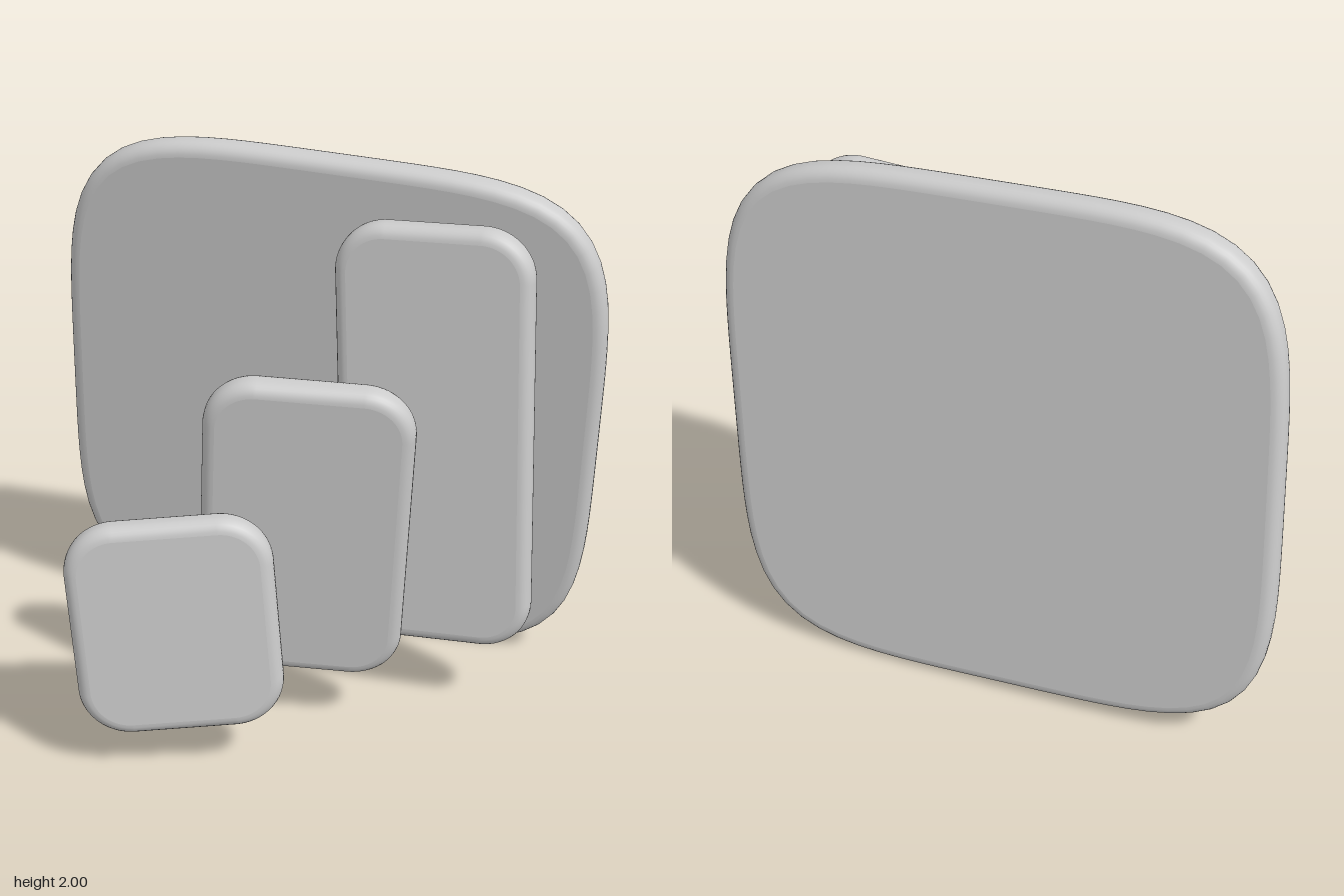
import * as THREE from 'three';

const SEG = 96, THICK = 0.11, BEVEL = 0.045;

// Superellipse outline, counter-clockwise
function squircle(a, b, power) {
  return Array.from({ length: SEG }, (_, i) => {
    const t = (i / SEG) * Math.PI * 2, c = Math.cos(t), s = Math.sin(t);
    const k = Math.pow(Math.abs(c) ** power + Math.abs(s) ** power, -1 / power);
    return new THREE.Vector2(a * c * k, b * s * k);
  });
}

// Rectangle outline with circular corners, counter-clockwise
function roundedRect(a, b, r) {
  const pts = [], n = SEG / 4;
  [[1, 1], [-1, 1], [-1, -1], [1, -1]].forEach(([sx, sy], q) => {
    for (let i = 0; i < n; i++) {
      const t = (q + i / (n - 1)) * Math.PI / 2;
      pts.push(new THREE.Vector2(sx * (a - r) + r * Math.cos(t), sy * (b - r) + r * Math.sin(t)));
    }
  });
  return pts;
}

// Flat slab with a rounded rim: rings of the outline inset along a quarter-round at back and front
function slabGeometry(outline) {
  const n = outline.length, pos = [], index = [], steps = 6;
  const normals = outline.map((_, i) => {
    const d = outline[(i + 1) % n].clone().sub(outline[(i + n - 1) % n]).normalize();
    return new THREE.Vector2(d.y, -d.x);
  });
  const ring = (inset, z) => {
    const start = pos.length / 3;
    outline.forEach((p, i) => pos.push(p.x - normals[i].x * inset, p.y - normals[i].y * inset, z));
    return start;
  };
  const profile = [];
  for (let k = 0; k <= steps; k++) {
    const t = (k / steps) * Math.PI / 2;
    profile.push([BEVEL * (1 - Math.sin(t)), THICK / 2 - BEVEL + BEVEL * Math.cos(t)]);
  }
  const full = [...profile.map(([s, z]) => [s, -z]), ...profile.slice().reverse()];
  const starts = full.map(([s, z]) => ring(s, z));
  for (let k = 0; k + 1 < starts.length; k++) {
    for (let i = 0; i < n; i++) {
      const j = (i + 1) % n, lo = starts[k], hi = starts[k + 1];
      index.push(lo + i, lo + j, hi + j, lo + i, hi + j, hi + i);
    }
  }
  // Flat faces
  for (const side of [-1, 1]) {
    const start = ring(BEVEL, side * THICK / 2), centre = pos.length / 3;
    pos.push(0, 0, side * THICK / 2);
    for (let i = 0; i < n; i++) {
      const j = (i + 1) % n;
      if (side > 0) index.push(centre, start + i, start + j);
      else index.push(centre, start + j, start + i);
    }
  }
  const geo = new THREE.BufferGeometry();
  geo.setAttribute('position', new THREE.Float32BufferAttribute(pos, 3));
  geo.setIndex(index);
  geo.computeVertexNormals();
  return geo;
}

export function createModel() {
  const group = new THREE.Group();
  const grey = new THREE.MeshStandardMaterial({ color: 0xcccccc });
  grey.name = 'light grey';

  // across and up are the slab's own width and height directions
  function addSlab(name, outline, centre, across, up) {
    const mesh = new THREE.Mesh(slabGeometry(outline), grey);
    const u = new THREE.Vector3(...across).normalize();
    const n = u.clone().cross(new THREE.Vector3(...up)).normalize();
    const v = n.clone().cross(u);
    mesh.quaternion.setFromRotationMatrix(new THREE.Matrix4().makeBasis(u, v, n));
    mesh.position.set(...centre);
    mesh.name = name;
    group.add(mesh);
  }

  addSlab('backPanel', squircle(0.985, 0.99, 4.5), [0, 1, -0.395], [1, -0.046, 0.118], [0.035, 1, 0.1]);
  addSlab('tallBar', roundedRect(0.345, 0.79, 0.18), [0.415, 1.055, -0.037], [1, 0.04, 0.13], [-0.03, 1, -0.055]);
  addSlab('middleBar', roundedRect(0.36, 0.595, 0.18), [-0.008, 0.818, 0.24], [1, -0.05, -0.05], [0.05, 1, 0.09]);
  addSlab('shortBar', roundedRect(0.356, 0.4, 0.18), [-0.418, 0.567, 0.514], [1, 0.07, -0.165], [-0.08, 1, -0.06]);
  return group;
}
